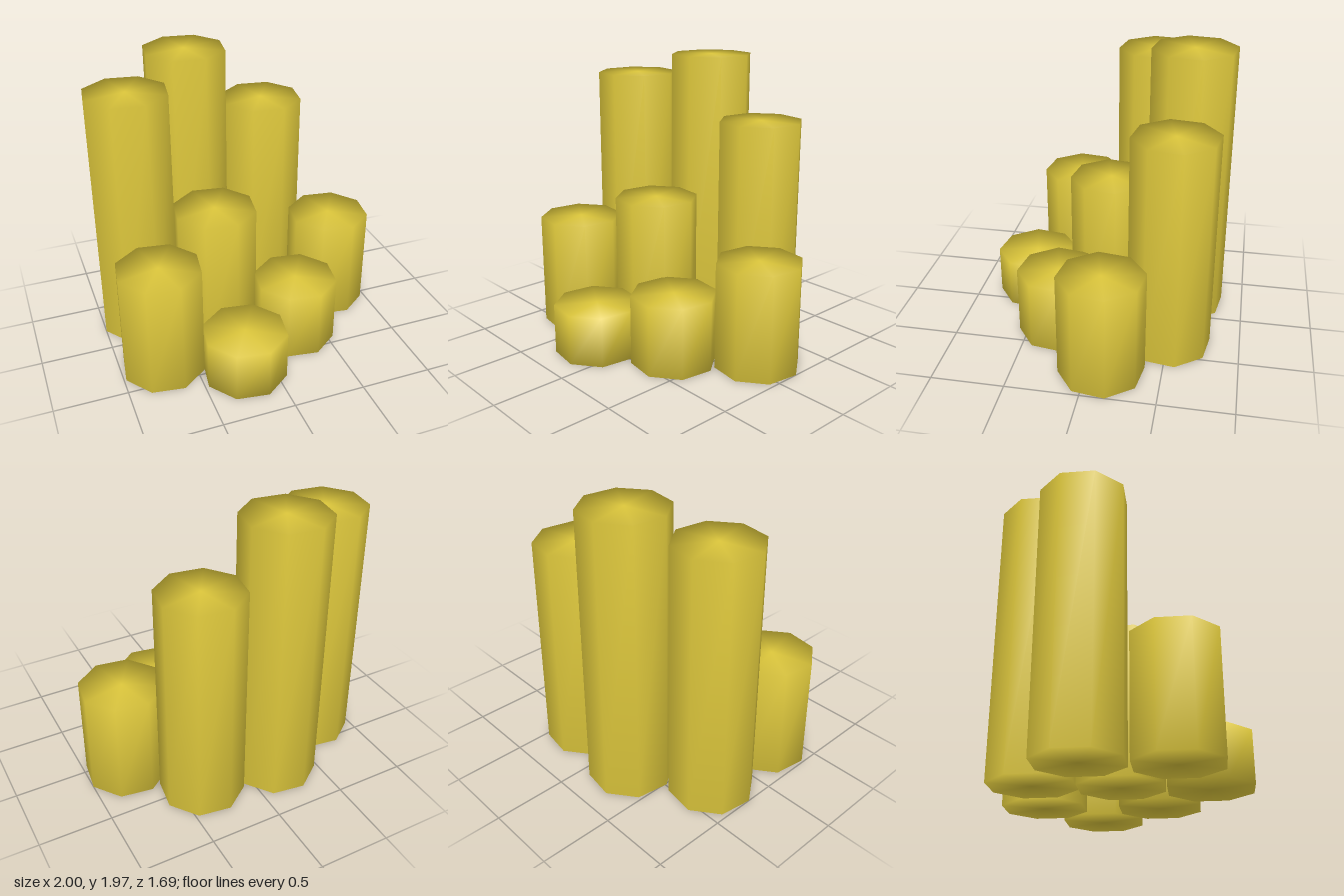
import * as THREE from 'three';
import { mergeVertices } from 'three/addons/utils/BufferGeometryUtils.js';

const RADIUS = 0.294;
const TWIST = THREE.MathUtils.degToRad(14);

// Closed octagonal prism standing on y = 0, shaded smoothly across its edges
function columnGeometry(height) {
  const prism = new THREE.CylinderGeometry(RADIUS, RADIUS, height, 8, 1, false, TWIST);
  prism.translate(0, height / 2, 0);
  prism.deleteAttribute('normal');
  prism.deleteAttribute('uv');
  const welded = mergeVertices(prism, 1e-4);
  welded.computeVertexNormals();
  return welded;
}

export function createModel() {
  const model = new THREE.Group();
  model.name = 'columnCluster';
  const material = new THREE.MeshStandardMaterial({ color: 0xdec83c });

  // name, centre x, centre z, height
  const columns = [
    ['backColumn', -0.225, -0.56, 1.97],
    ['backLeftColumn', 0.325, -0.505, 1.56],
    ['backRightColumn', -0.715, -0.27, 1.82],
    ['leftColumn', 0.715, -0.095, 0.74],
    ['middleColumn', -0.205, -0.005, 1.0],
    ['frontRightColumn', -0.70, 0.305, 0.81],
    ['frontLeftColumn', 0.295, 0.28, 0.49],
    ['frontColumn', -0.19, 0.56, 0.35],
  ];

  for (const [name, x, z, height] of columns) {
    const column = new THREE.Mesh(columnGeometry(height), material);
    column.name = name;
    column.position.set(x, 0, z);
    model.add(column);
  }
  return model;
}
